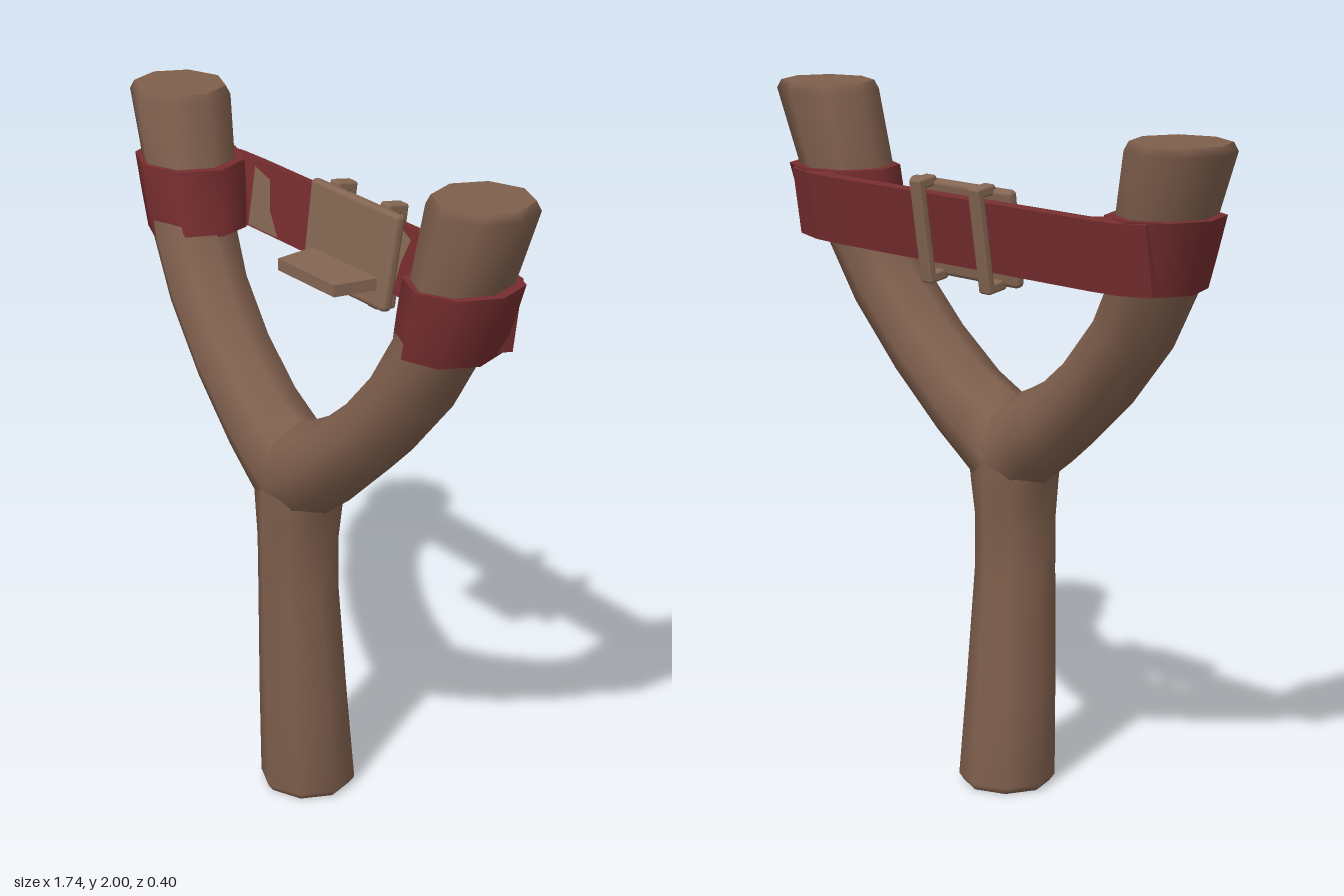
import * as THREE from 'three';
import { RoundedBoxGeometry } from 'three/addons/geometries/RoundedBoxGeometry.js';

const SIDES = 8;

// Loft through sections [innerX, innerY, outerX, outerY, zCentre, zRadius], with separate flat caps
function loft(sections, side = 1) {
  const pos = [], index = [];
  const tri = (a, b, c) => (side > 0 ? index.push(a, b, c) : index.push(a, c, b));
  const ring = ([ix, iy, ox, oy, zc, rz]) => {
    const start = pos.length / 3;
    for (let j = 0; j < SIDES; j++) {
      const a = (j / SIDES) * Math.PI * 2, c = Math.cos(a);
      pos.push(side * ((ix + ox) / 2 + (c * (ox - ix)) / 2), (iy + oy) / 2 + (c * (oy - iy)) / 2, zc + rz * Math.sin(a));
    }
    return start;
  };
  const starts = sections.map(ring);
  for (let i = 0; i + 1 < starts.length; i++) {
    for (let j = 0; j < SIDES; j++) {
      const k = (j + 1) % SIDES, a = starts[i], b = starts[i + 1];
      tri(a + j, b + j, a + k);
      tri(a + k, b + j, b + k);
    }
  }
  const bottom = ring(sections[0]), top = ring(sections[sections.length - 1]);
  for (let j = 1; j < SIDES - 1; j++) {
    tri(bottom, bottom + j, bottom + j + 1);
    tri(top, top + j + 1, top + j);
  }
  const geo = new THREE.BufferGeometry();
  geo.setAttribute('position', new THREE.Float32BufferAttribute(pos, 3));
  geo.setIndex(index);
  geo.computeVertexNormals();
  return geo;
}

const shapeOf = (points) => new THREE.Shape(points.map(([x, y]) => new THREE.Vector2(x, y)));

// Plan outline given as [x, z], extruded upwards and centred on y = 0
function slab(points, height) {
  const geo = new THREE.ExtrudeGeometry(shapeOf(points.map(([x, z]) => [x, -z])), { depth: height, bevelEnabled: false });
  return geo.translate(0, 0, -height / 2).rotateX(-Math.PI / 2);
}

export function createModel() {
  const model = new THREE.Group();
  model.name = 'slingshot';
  const material = (name, color, extra = {}) => {
    const m = new THREE.MeshStandardMaterial({ color, ...extra });
    m.name = name;
    return m;
  };
  const wood = material('brown wood', 0x7f5f4d);
  const red = material('dark red band', 0x762d2f);
  const leather = material('tan leather', 0x846652, { side: THREE.DoubleSide });
  const add = (parent, name, geo, mat, x = 0, y = 0, z = 0) => {
    const mesh = new THREE.Mesh(geo, mat);
    mesh.name = name;
    mesh.position.set(x, y, z);
    parent.add(mesh);
    return mesh;
  };

  // Handle, flaring at the foot and into the fork
  const handle = [
    [0, 0.125, 0.035, 0.125], [0.02, 0.14, 0.036, 0.14], [0.3, 0.127, 0.052, 0.132],
    [0.65, 0.108, 0.068, 0.124], [0.8, 0.107, 0.069, 0.125], [0.9, 0.122, 0.066, 0.129], [1.02, 0.15, 0.065, 0.125],
  ];
  add(model, 'handle', loft(handle.map(([y, r, zc, rz]) => [-r, y, r, y, zc, rz])), wood);

  // Fork arms and the band wraps around them
  for (const side of [1, -1]) {
    const name = side > 0 ? 'left' : 'right';
    const top = side > 0 ? 2 : 1.96;
    add(model, name + 'Arm', loft([
      [0, 1.155, 0, 0.82, 0.065, 0.13],
      [0.07, 1.185, 0.13, 0.92, 0.063, 0.13],
      [0.14, 1.22, 0.24, 1.0, 0.06, 0.127],
      [0.28, 1.33, 0.42, 1.16, 0.052, 0.125],
      [0.4, 1.46, 0.59, 1.35, 0.04, 0.125],
      [0.475, 1.58, 0.72, 1.57, 0.025, 0.13],
      [0.52, 1.76, 0.79, 1.76, 0.0, 0.14],
      [0.56, top - 0.025, 0.872, top - 0.025, -0.015, 0.145],
      [0.575, top, 0.858, top, -0.015, 0.133],
    ], side), wood);
    add(model, name + 'Wrap', loft([
      [0.46, 1.565, 0.745, 1.55, 0.006, 0.15],
      [0.472, 1.65, 0.782, 1.65, 0, 0.157],
      [0.488, 1.755, 0.822, 1.76, -0.005, 0.16],
    ], side), red);
  }

  // Strap assembly leans back at the top
  const sling = new THREE.Group();
  sling.name = 'sling';
  sling.position.set(0, 1.65, -0.165);
  sling.rotation.x = -0.15;
  model.add(sling);
  const half = [[0.52, 0], [0.62, 0.005], [0.72, 0.03], [0.72, 0.1], [0.6, 0.065], [0.52, 0.03]];
  const mirrored = half.map(([x, z]) => [-x, z]).reverse();
  add(sling, 'strap', slab([...half, ...mirrored], 0.2), red);

  // Leather patches on the strap's front face
  const patches = [
    [[-0.52, 0.08], [-0.44, 0.06], [-0.42, -0.03], [-0.37, -0.095], [-0.52, -0.095]],
    [[0.52, 0.05], [0.46, 0.02], [0.43, -0.03], [0.4, -0.095], [0.52, -0.095]],
    [[0.19, 0.09], [0.24, 0.07], [0.21, 0], [0.19, -0.09]],
  ];
  for (const points of patches) add(sling, 'strapPatch', new THREE.ShapeGeometry(shapeOf(points)), leather, 0, 0, 0.033);

  // Pouch plate, slightly narrower at the bottom
  const plate = new RoundedBoxGeometry(0.42, 0.28, 0.035, 2, 0.014);
  const p = plate.attributes.position;
  for (let i = 0; i < p.count; i++) p.setX(i, p.getX(i) * (0.96 + 0.18 * p.getY(i)));
  add(sling, 'pouch', plate, leather, 0, -0.01, 0.047);

  // Clips hooking the plate over the strap
  for (const x of [-0.12, 0.12]) {
    add(sling, 'clipBar', new RoundedBoxGeometry(0.045, 0.3, 0.026, 2, 0.008), leather, x, -0.008, -0.012);
    for (const y of [0.128, -0.144]) {
      add(sling, 'clipHook', new RoundedBoxGeometry(0.045, 0.03, 0.07, 2, 0.008), leather, x, y, 0.01);
    }
  }

  // Small shelf on the pouch front
  add(model, 'pouchShelf', slab([[-0.16, -0.11], [-0.135, 0.04], [0.135, 0.04], [0.16, -0.11]], 0.035), leather, 0.0, 1.582, 0);
  return model;
}
